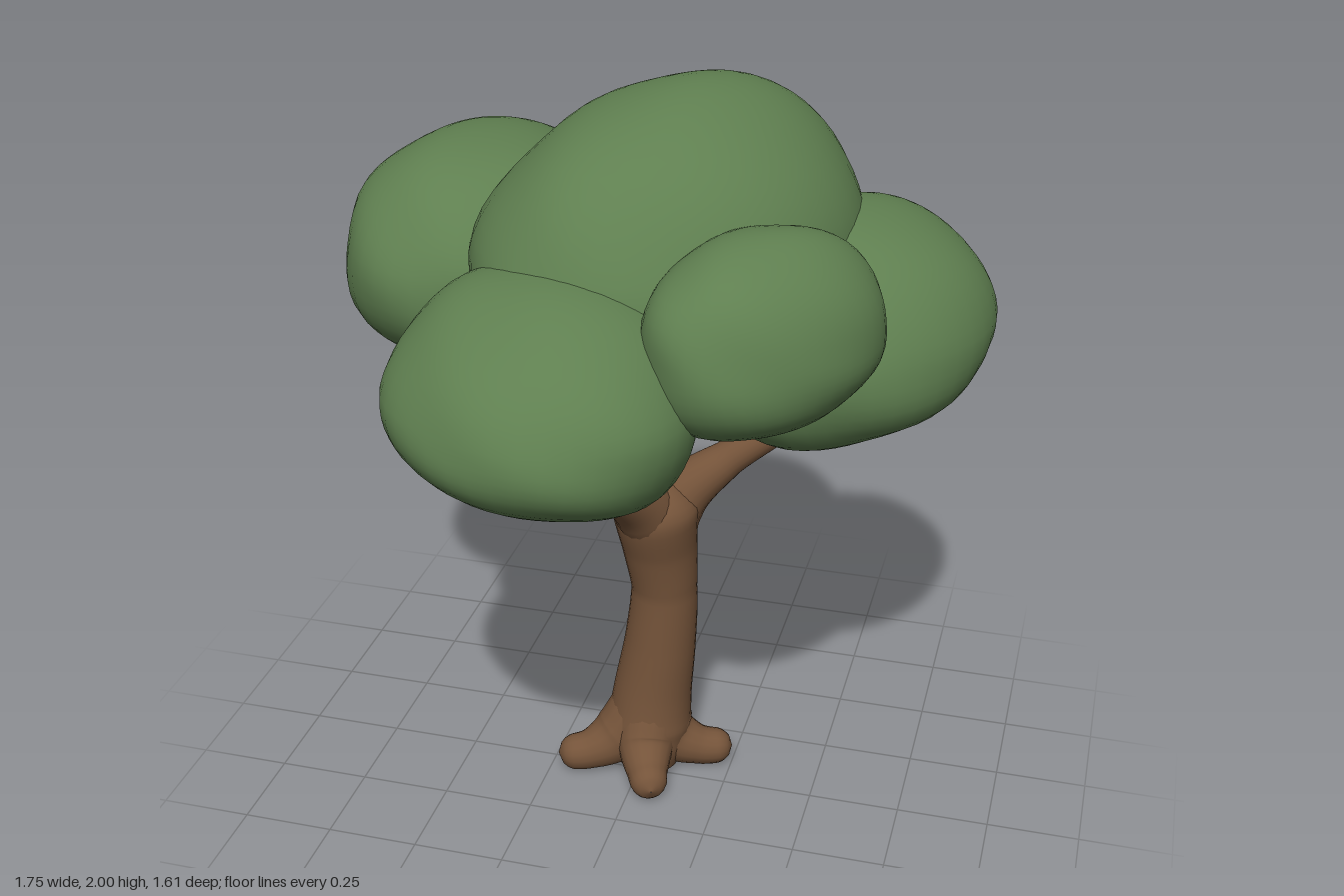
import * as THREE from 'three';
import { mergeVertices } from 'three/addons/utils/BufferGeometryUtils.js';

const bark = new THREE.MeshStandardMaterial({ color: 0x75543a });
bark.name = 'bark brown';
const leaf = new THREE.MeshStandardMaterial({ color: 0x5f7f50 });
leaf.name = 'leaf green';

// Weld the seams so the shading is smooth all round
function smooth(geometry) {
  geometry.deleteAttribute('uv');
  geometry.deleteAttribute('normal');
  const welded = mergeVertices(geometry, 1e-4);
  welded.computeVertexNormals();
  return welded;
}

function addMesh(group, name, geometry, material) {
  const mesh = new THREE.Mesh(geometry, material);
  mesh.name = name;
  group.add(mesh);
}

// Round-ended limb through points [x, y, z, radius]
function limb(points, segments = 32, sides = 20) {
  const curve = new THREE.CatmullRomCurve3(points.map(([x, y, z]) => new THREE.Vector3(x, y, z)));
  const geometry = new THREE.TubeGeometry(curve, segments, 1, sides);
  const pos = geometry.attributes.position;
  const length = curve.getLength();
  const v = new THREE.Vector3();
  for (let i = 0; i <= segments; i++) {
    const u = i / segments;
    const t = curve.getUtoTmapping(u) * (points.length - 1);
    const k = Math.min(Math.floor(t), points.length - 2);
    let r = THREE.MathUtils.lerp(points[k][3], points[k + 1][3], t - k);
    const endRadius = points[points.length - 1][3];
    const past = Math.max(0, 1 - (length * (1 - u)) / endRadius);
    r *= Math.sqrt(Math.max(0.0004, 1 - past * past));
    const centre = curve.getPointAt(u);
    for (let j = 0; j <= sides; j++) {
      const n = i * (sides + 1) + j;
      v.fromBufferAttribute(pos, n).sub(centre).multiplyScalar(r).add(centre);
      pos.setXYZ(n, v.x, Math.max(0.005, v.y), v.z);
    }
  }
  return smooth(geometry);
}

// Lumpy leaf mass: round above, squarer below. The top narrows and leans, the
// plan is skewed, and the underside lifts away from the trunk.
function foliage({ centre, radii, lean, taper, skew, lift }, seed) {
  const geometry = new THREE.SphereGeometry(1, 40, 28);
  const pos = geometry.attributes.position;
  const d = new THREE.Vector3();
  const outward = new THREE.Vector2(centre[0], centre[2]).normalize();
  for (let i = 0; i < pos.count; i++) {
    d.fromBufferAttribute(pos, i).normalize();
    const power = d.y < 0 ? 2.5 : 2.15;
    const size = Math.pow(
      Math.hypot(d.x, d.z) ** power + Math.abs(d.y) ** power, -1 / power);
    const lump = 1 + 0.01 * Math.sin(4 * d.x + 3 * d.z + seed)
      + 0.01 * Math.sin(5 * d.y - 4 * d.z + seed * 2.3)
      + 0.008 * Math.sin(7 * d.x + 6 * d.y + seed * 1.7);
    d.multiplyScalar(size * lump);
    const width = 1 - taper * Math.max(0, d.y);
    const rise = lift * (d.x * outward.x + d.z * outward.y) * Math.max(0, -d.y);
    pos.setXYZ(i,
      centre[0] + d.x * radii[0] * width + lean[0] * d.y,
      centre[1] + d.y * radii[1] + rise,
      centre[2] + d.z * radii[2] * width + lean[1] * d.y + skew * d.x);
  }
  return smooth(geometry);
}

export function createModel() {
  const tree = new THREE.Group();
  tree.name = 'tree';

  // Trunk, swelling at the foot and the fork
  addMesh(tree, 'trunk', limb([
    [0.015, 0.015, -0.045, 0.085], [0.015, 0.07, -0.05, 0.105], [0.015, 0.14, -0.06, 0.12],
    [0.022, 0.24, -0.065, 0.112], [0.045, 0.42, -0.062, 0.1], [0.057, 0.6, -0.055, 0.091],
    [0.047, 0.74, -0.04, 0.103], [0.04, 0.86, -0.02, 0.118], [0.035, 0.95, -0.025, 0.075],
  ], 56, 28), bark);

  // Roots, running out of the foot of the trunk
  const roots = [[-0.19, 0.04], [0.065, 0.135], [0.205, -0.1], [-0.105, -0.22]];
  roots.forEach(([x, z], i) => addMesh(tree, `root${i + 1}`, limb([
    [0.015 + x * 0.1, 0.19, -0.055 + z * 0.1, 0.09],
    [x * 0.36, 0.1, -0.035 + z * 0.36, 0.082],
    [x * 0.75, 0.06, -0.01 + z * 0.75, 0.057],
    [x * 1.2, 0.05, z * 1.2, 0.047],
  ], 28, 16), bark));

  // Branches
  addMesh(tree, 'leftBranch', limb([
    [0.05, 0.74, -0.05, 0.085], [0.09, 0.87, -0.07, 0.082],
    [0.22, 0.99, -0.11, 0.05], [0.37, 1.1, -0.16, 0.042], [0.48, 1.22, -0.2, 0.035],
  ]), bark);
  addMesh(tree, 'frontBranch', limb([
    [0.045, 0.74, -0.045, 0.085], [0.02, 0.88, 0.03, 0.085],
    [-0.025, 0.99, 0.16, 0.052], [-0.075, 1.09, 0.3, 0.042], [-0.1, 1.22, 0.44, 0.035],
  ]), bark);
  addMesh(tree, 'backBranch', limb([
    [0.02, 0.8, -0.05, 0.08], [-0.025, 0.93, -0.075, 0.073],
    [-0.09, 1.03, -0.09, 0.07], [-0.26, 1.12, -0.11, 0.05],
  ]), bark);

  // Crown
  const crown = {
    topFoliage: {
      centre: [0.055, 1.61, -0.1], radii: [0.48, 0.385, 0.51], lean: [0.03, -0.08], taper: 0.14, skew: -0.1, lift: 0,
    },
    rightFoliage: {
      centre: [-0.51, 1.485, -0.3], radii: [0.37, 0.295, 0.445], lean: [0, -0.02], taper: 0.05, skew: -0.02, lift: 0.04,
    },
    frontFoliage: {
      centre: [-0.13, 1.39, 0.42], radii: [0.39, 0.27, 0.365], lean: [0, -0.08], taper: 0.1, skew: 0.03, lift: 0.08,
    },
    leftFrontFoliage: {
      centre: [0.385, 1.54, 0.28], radii: [0.27, 0.235, 0.26], lean: [-0.02, -0.03], taper: 0.03, skew: -0.11, lift: 0.05,
    },
    leftFoliage: {
      centre: [0.51, 1.4, -0.21], radii: [0.37, 0.285, 0.38], lean: [-0.02, -0.04], taper: 0.08, skew: -0.07, lift: 0.07,
    },
    backFoliage: {
      centre: [0.08, 1.33, -0.48], radii: [0.33, 0.27, 0.31], lean: [0, 0.05], taper: 0.1, skew: 0.05, lift: 0.03,
    },
    lowerFoliage: {
      centre: [-0.25, 1.265, 0.04], radii: [0.335, 0.235, 0.31], lean: [-0.02, 0], taper: 0.1, skew: 0, lift: 0.02,
    },
  };
  Object.entries(crown).forEach(([name, shape], i) =>
    addMesh(tree, name, foliage(shape, i * 1.9 + 0.6), leaf));

  return tree;
}
